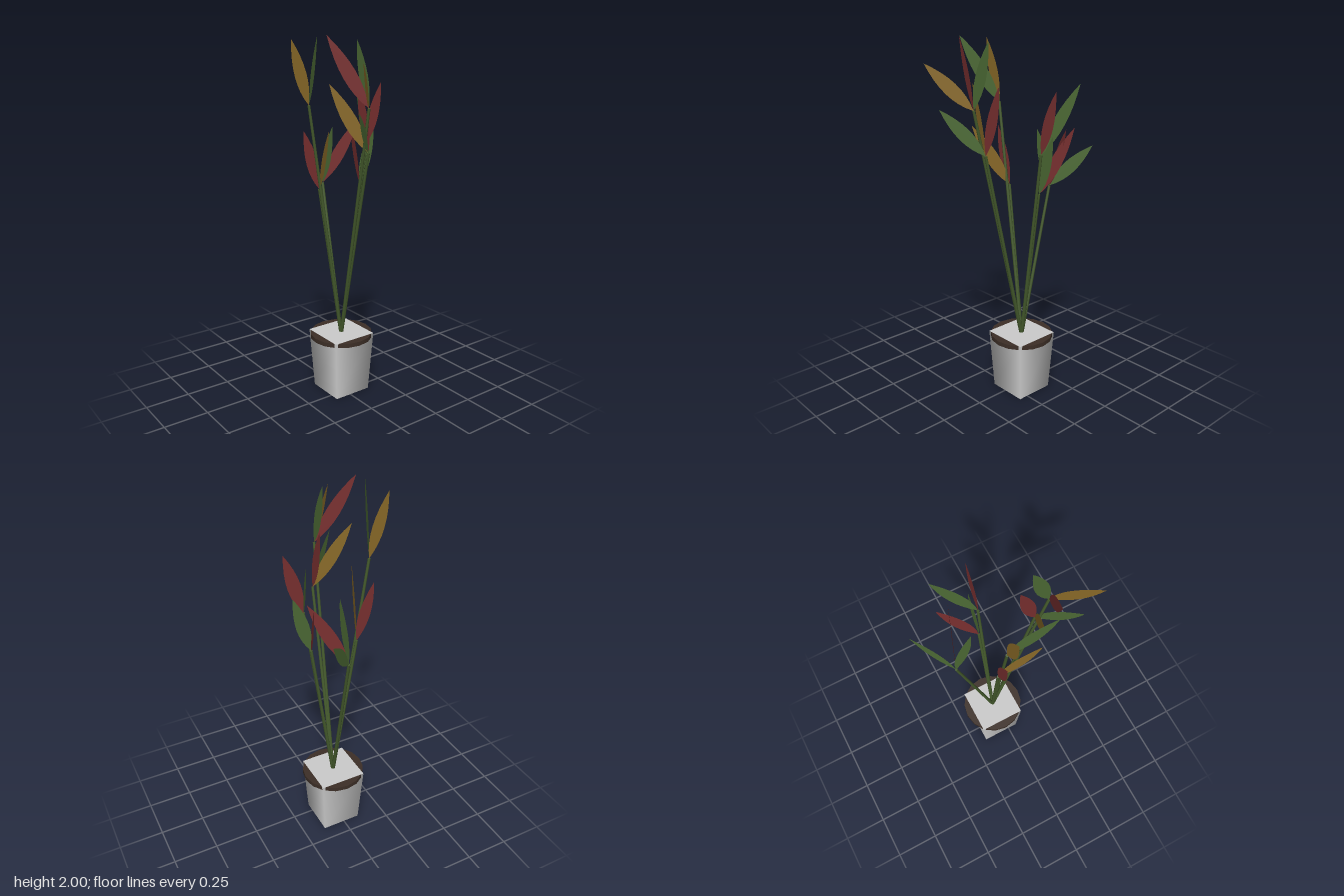
import * as THREE from 'three';

const CENTER = new THREE.Vector3(0.017, 0, -0.057);

const GREEN = 0x4d6b35, RED = 0x7a3030, YELLOW = 0x8a6a28;

const paint = (color, extra = {}) => new THREE.MeshStandardMaterial({ color, ...extra });

function addMesh(parent, name, geometry, material) {
  const mesh = new THREE.Mesh(geometry, material);
  mesh.name = name;
  parent.add(mesh);
  return mesh;
}

// Flat lens-shaped leaf standing in a vertical plane, from the origin along (dx, dy, dz)
function leafGeometry(dx, dy, dz) {
  const run = Math.hypot(dx, dz);
  const length = Math.hypot(run, dy);
  const shape = new THREE.Shape();
  shape.moveTo(0, 0);
  shape.bezierCurveTo(0.05, 0.3 * length, 0.045, 0.62 * length, 0, length);
  shape.bezierCurveTo(-0.045, 0.62 * length, -0.05, 0.3 * length, 0, 0);
  const geometry = new THREE.ShapeGeometry(shape, 8);
  geometry.rotateZ(-Math.atan2(run, dy));
  geometry.rotateY(Math.atan2(-dz, dx));
  return geometry;
}

// Round stem tapering from one point to another
function stemGeometry(from, to) {
  const dir = to.clone().sub(from);
  const geometry = new THREE.CylinderGeometry(0.0075, 0.01, dir.length(), 8);
  geometry.applyQuaternion(new THREE.Quaternion().setFromUnitVectors(
    new THREE.Vector3(0, 1, 0), dir.clone().normalize()));
  const mid = from.clone().add(to).multiplyScalar(0.5);
  return geometry.translate(mid.x, mid.y, mid.z);
}

// Each stem: its tip, then its leaves as [dx, dy, dz, color]
const STEMS = [
  { tip: [-0.025, 1.65, 0.235], leaves: [
    [-0.17, 0.23, 0.17, YELLOW], [0, 0.33, -0.1, GREEN], [-0.2, 0.35, -0.075, RED]] },
  { tip: [0.01, 1.42, 0.19], leaves: [
    [-0.18, 0.23, 0.15, GREEN], [0, 0.34, -0.09, RED], [-0.19, 0.35, -0.075, YELLOW]] },
  { tip: [0.03, 1.19, -0.25], leaves: [
    [0.17, 0.23, -0.155, GREEN], [0, 0.33, 0.1, GREEN], [0.19, 0.35, 0.075, RED]] },
  { tip: [-0.178, 1.65, -0.068], leaves: [
    [-0.1, 0.33, 0, YELLOW], [-0.08, 0.35, 0.2, GREEN]] },
  { tip: [-0.11, 1.2, -0.08], leaves: [
    [-0.095, 0.32, 0, RED], [-0.075, 0.34, 0.2, YELLOW]] },
  { tip: [0.175, 1.42, -0.04], leaves: [
    [0.1, 0.33, 0, RED], [0.075, 0.35, -0.2, GREEN]] },
  { tip: [0.145, 1.2, -0.058], leaves: [
    [0.095, 0.32, 0, GREEN], [0.07, 0.34, -0.185, RED]] },
];

export function createModel() {
  const model = new THREE.Group();
  model.name = 'pottedPlant';

  // Square tapered pot with soft shading across its corners
  const pot = addMesh(model, 'pot',
    new THREE.CylinderGeometry(0.186, 0.158, 0.35, 4, 1, false, Math.PI / 4), paint(0xcccccc));
  pot.position.copy(CENTER).setY(0.175);

  // Round soil disc, wider than the pot and just level with its top
  const soil = addMesh(model, 'soil',
    new THREE.CylinderGeometry(0.177, 0.177, 0.024, 16), paint(0x3d2f27));
  soil.position.copy(CENTER).setY(0.3372);

  // Stems fanning out from the middle of the soil, each topped with leaves
  const stemMaterial = paint(0x445a2c);
  const leafMaterials = new Map([GREEN, RED, YELLOW].map(
    (c) => [c, paint(c, { side: THREE.DoubleSide })]));
  const root = CENTER.clone().setY(0.33);
  STEMS.forEach(({ tip, leaves }, i) => {
    const branch = new THREE.Group();
    branch.name = `branch${i + 1}`;
    const end = new THREE.Vector3(...tip);
    addMesh(branch, 'stem', stemGeometry(root, end), stemMaterial);
    for (const [dx, dy, dz, color] of leaves) {
      addMesh(branch, 'leaf', leafGeometry(dx, dy, dz), leafMaterials.get(color))
        .position.copy(end);
    }
    model.add(branch);
  });

  return model;
}
